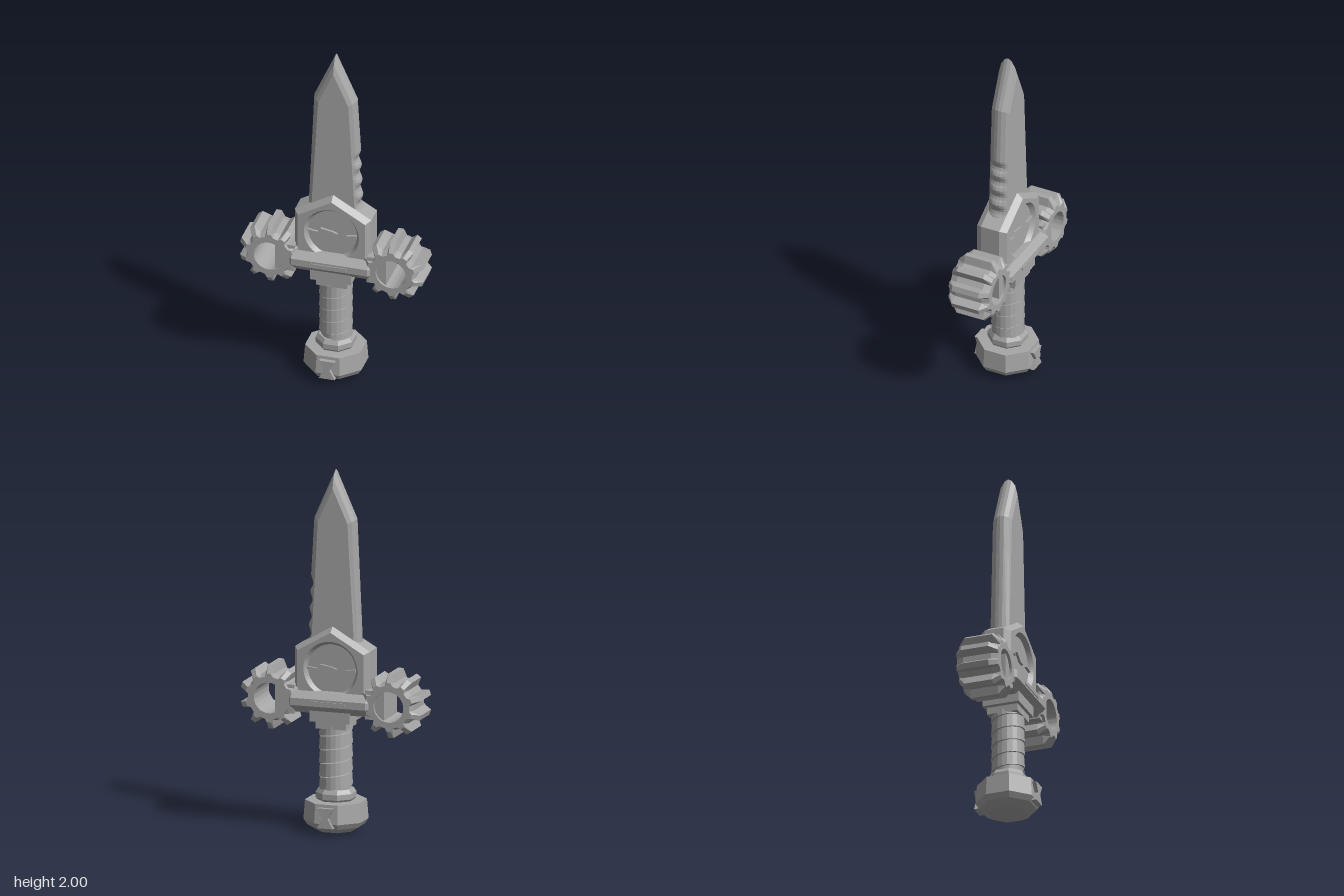
import * as THREE from 'three';

const steel = new THREE.MeshStandardMaterial({ color: 0xa6a6a6 });
steel.name = 'grey steel';

// Faceted normals for hard-edged parts
function faceted(geo) {
  const g = geo.index ? geo.toNonIndexed() : geo;
  g.computeVertexNormals();
  return g;
}

// Skin through rings of [x, y, z]; ends are capped, or joined when closed is true
function loft(rings, closed = false) {
  const n = rings[0].length, pos = rings.flat(2), idx = [];
  const count = closed ? rings.length : rings.length - 1;
  for (let i = 0; i < count; i++) {
    const k = (i + 1) % rings.length;
    for (let j = 0; j < n; j++) {
      const m = (j + 1) % n;
      idx.push(i * n + j, i * n + m, k * n + m, i * n + j, k * n + m, k * n + j);
    }
  }
  if (!closed) {
    const last = (rings.length - 1) * n;
    for (let j = 1; j < n - 1; j++) {
      idx.push(0, j + 1, j, last, last + j, last + j + 1);
    }
  }
  const g = new THREE.BufferGeometry();
  g.setAttribute('position', new THREE.Float32BufferAttribute(pos, 3));
  g.setIndex(idx);
  return faceted(g);
}

function bladeGeometry() {
  // Each point: edge x, edge y, flat x, flat y
  const pts = [[-0.152, 1.0, -0.125, 1.0], [0.155, 1.0, 0.125, 1.0]];
  const waves = 4, steps = 6;
  for (let i = 0; i <= waves * steps; i++) {
    const y = 1.04 + (0.37 * i) / (waves * steps);
    const notch = 0.009 * Math.cos((i / steps) * Math.PI * 2);
    pts.push([0.153 - (y - 1.04) * 0.045 - 0.006 + notch, y, 0.124 - (y - 1) * 0.055, y]);
  }
  pts.push([0.12, 1.73, 0.085, 1.71], [0, 2.0, 0, 1.9], [-0.12, 1.73, -0.085, 1.71]);
  const ring = (t, z) => pts.map(([ex, ey, fx, fy]) => [fx + (ex - fx) * t, fy + (ey - fy) * t, z]);
  return loft([ring(0, -0.055), ring(0.55, -0.042), ring(0.9, -0.02), ring(1, 0),
    ring(0.9, 0.02), ring(0.55, 0.042), ring(0, 0.055)]);
}

function gearGeometry() {
  const teeth = 10, deg = Math.PI / 180;
  const star = (tip, root, z) => {
    const out = [];
    for (let i = 0; i < teeth; i++) {
      const mid = (90 + i * 36) * deg;
      for (const [off, r] of [[-11, root], [-5, tip], [5, tip], [11, root]]) {
        const a = mid + off * deg;
        out.push([r * Math.cos(a), r * Math.sin(a), z]);
      }
    }
    return out;
  };
  return loft([star(0.135, 0.118, -0.12), star(0.178, 0.133, -0.08), star(0.178, 0.133, 0.08),
    star(0.135, 0.118, 0.12), star(0.085, 0.085, 0.12), star(0.085, 0.085, -0.12)], true);
}

// Overlapping strip wound around the grip
function wrapGeometry() {
  const seg = 20, turns = 5, pitch = 0.076, y0 = 0.2;
  const profile = [[0.076, 0.002], [0.092, 0], [0.087, 0.07], [0.076, 0.076]];
  const pos = [], idx = [], n = profile.length;
  for (let i = 0; i <= seg * turns; i++) {
    const a = (i / seg) * Math.PI * 2;
    for (const [r, h] of profile) {
      pos.push(r * Math.sin(a), Math.min(y0 + (pitch * i) / seg + h, 0.61), r * Math.cos(a));
    }
    if (i === 0) continue;
    for (let j = 0; j < n - 1; j++) {
      const a0 = (i - 1) * n + j, b0 = i * n + j;
      idx.push(a0, b0, b0 + 1, a0, b0 + 1, a0 + 1);
    }
  }
  const g = new THREE.BufferGeometry();
  g.setAttribute('position', new THREE.Float32BufferAttribute(pos, 3));
  g.setIndex(idx);
  return faceted(g);
}

// Eight-sided turned part with a flat facing the front; widths are measured across flats
function octagonal(profile) {
  const k = 1 / Math.cos(Math.PI / 8);
  const g = new THREE.LatheGeometry(profile.map(([r, y]) => new THREE.Vector2(r * k, y)), 8);
  g.rotateY(Math.PI / 8);
  return faceted(g);
}

const polygon = (pts) => new THREE.Shape(pts.map(([x, y]) => new THREE.Vector2(x, y)));

export function createModel() {
  const model = new THREE.Group();
  const add = (name, geo, x = 0, y = 0, z = 0, parent = model) => {
    const m = new THREE.Mesh(geo, steel);
    m.name = name;
    m.position.set(x, y, z);
    parent.add(m);
    return m;
  };

  add('blade', bladeGeometry());

  // Five-sided housing with a round bevelled opening
  const housing = polygon([[-0.19, 0.74], [0.19, 0.74], [0.19, 1.0], [0, 1.11], [-0.19, 1.0]]);
  const opening = new THREE.Path();
  opening.absarc(0, 0.905, 0.155, 0, Math.PI * 2, true);
  housing.holes.push(opening);
  add('dialHousing', new THREE.ExtrudeGeometry(housing, {
    depth: 0.11, bevelEnabled: true, bevelThickness: 0.035, bevelSize: 0.025,
    bevelSegments: 1, curveSegments: 32,
  }), 0, 0, -0.055);

  // Recessed dial, pointer and side ticks, on front and back
  const disc = new THREE.CylinderGeometry(0.14, 0.14, 0.13, 32);
  disc.rotateX(Math.PI / 2);
  add('dial', disc, 0, 0.905, 0);
  for (const side of [1, -1]) {
    const face = new THREE.Group();
    face.name = side > 0 ? 'frontDialMarks' : 'backDialMarks';
    face.rotation.y = side > 0 ? 0 : Math.PI;
    model.add(face);
    const plate = (pts, depth) => new THREE.ExtrudeGeometry(polygon(pts), { depth, bevelEnabled: false });
    add('pointer', plate([[-0.065, 0.025], [-0.015, -0.012], [0.025, -0.014], [0.03, 0.002], [0.005, 0.012]], 0.015),
      0, 0.905, 0.064, face);
    for (const s of [1, -1]) {
      const tick = [[s * 0.08, 0], [s * 0.138, -0.008], [s * 0.138, 0.008]];
      add('tick', plate(tick, 0.015), 0, 0.905, 0.064, face);
    }
    // Narrow inlay on the crossbar
    add('crossbarInlay', new THREE.BoxGeometry(0.2, 0.018, 0.008), 0, 0.725, 0.136, face);
    // Waisted ornament on the pommel
    add('pommelOrnament', plate([[-0.045, 0.045], [0.045, 0.045], [0.016, 0.1], [0.045, 0.155],
      [-0.045, 0.155], [-0.016, 0.1]], 0.04), 0, 0, 0.14, face);
  }

  // Crossbar with a six-sided section and chamfered ends
  const section = [[-0.09, 0.66], [0.09, 0.66], [0.135, 0.705], [0.135, 0.745], [0.1, 0.78], [-0.1, 0.78],
    [-0.135, 0.745], [-0.135, 0.705]];
  const barRing = (s, z) => section.map(([x, y]) => [x * s, 0.72 + (y - 0.72) * s, z]);
  const bar = loft([barRing(0.78, -0.24), barRing(1, -0.215), barRing(1, 0.215), barRing(0.78, 0.24)]);
  bar.rotateY(Math.PI / 2);
  add('crossbar', bar);

  // Toothed rings on both ends of the crossbar
  const gear = gearGeometry();
  for (const s of [1, -1]) {
    const name = s > 0 ? 'left' : 'right';
    add(name + 'Gear', gear, s * 0.343, 0.73, 0);
    add(name + 'GearMount', new THREE.BoxGeometry(0.11, 0.16, 0.21), s * 0.258, 0.73, 0);
  }

  // Stepped neck below the crossbar
  add('neckBlock', new THREE.BoxGeometry(0.23, 0.07, 0.21), 0, 0.65, 0);
  add('neckStep', new THREE.BoxGeometry(0.175, 0.05, 0.175), 0, 0.6, 0);

  // Grip with its spiral wrap
  add('gripCore', new THREE.CylinderGeometry(0.08, 0.08, 0.42, 20), 0, 0.4, 0);
  add('gripWrap', wrapGeometry());

  add('collar', octagonal([[0.085, 0.16], [0.102, 0.185], [0.102, 0.215], [0.088, 0.238], [0, 0.238]]));
  add('pommel', octagonal([[0, 0], [0.1, 0.006], [0.145, 0.035], [0.163, 0.065], [0.155, 0.172], [0, 0.176]]));

  return model;
}
